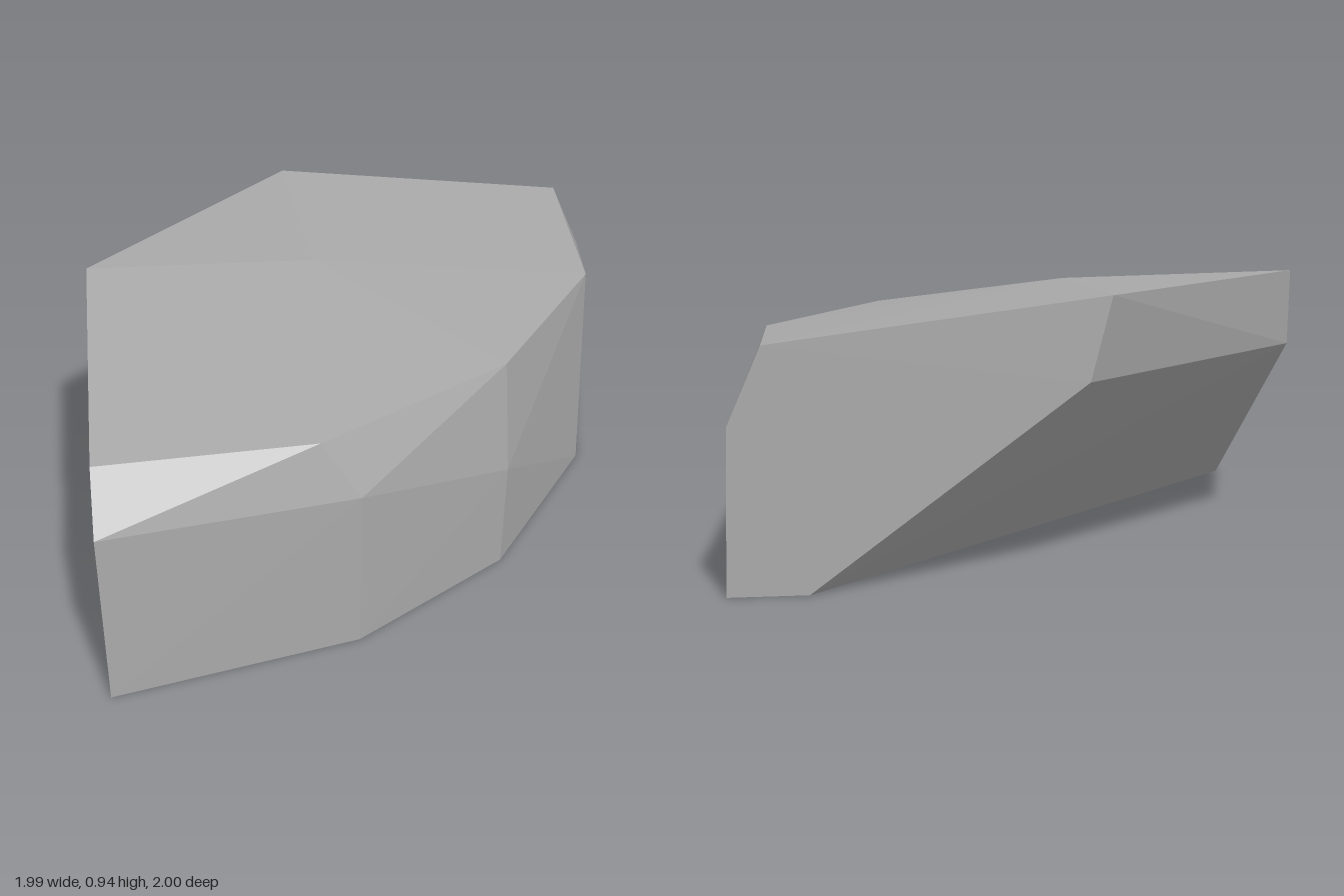
import * as THREE from 'three';
import { ConvexGeometry } from 'three/addons/geometries/ConvexGeometry.js';

export function createModel() {
  const group = new THREE.Group();
  group.name = 'rock';
  const stone = new THREE.MeshStandardMaterial({ color: 0xa8a8a8 });
  stone.name = 'grey stone';

  // flat base outline
  const base = [
    [0.73, 0, -1], [0.99, 0, -1], [0.84, 0, -0.23], [0.42, 0, 0.41],
    [-0.14, 0, 0.8], [-0.99, 0, 1], [-0.99, 0, 0.78],
  ];
  // shoulders of the chipped sides and the undercut back corner
  const shoulders = [
    [0.98, 0.54, -1], [0.435, 0.39, 0.405], [-0.13, 0.58, 0.79],
    [-1, 0.625, 0.99], [-1, 0.67, -0.235], [-0.16, 0.66, -1],
  ];
  // top rim, with a slight crown in the middle
  const top = [
    [0.87, 0.795, -1], [0.85, 0.77, -0.3], [0.43, 0.78, 0.33], [-0.26, 0.785, 0.76],
    [-1, 0.795, 0.82], [-1, 0.935, -0.26], [-0.23, 0.935, -1], [-0.18, 0.917, -0.26],
  ];

  // faceted boulder wrapped around all corners
  const corners = [...base, ...shoulders, ...top].map((p) => new THREE.Vector3(...p));
  const boulder = new THREE.Mesh(new ConvexGeometry(corners), stone);
  boulder.name = 'boulder';
  group.add(boulder);
  return group;
}
